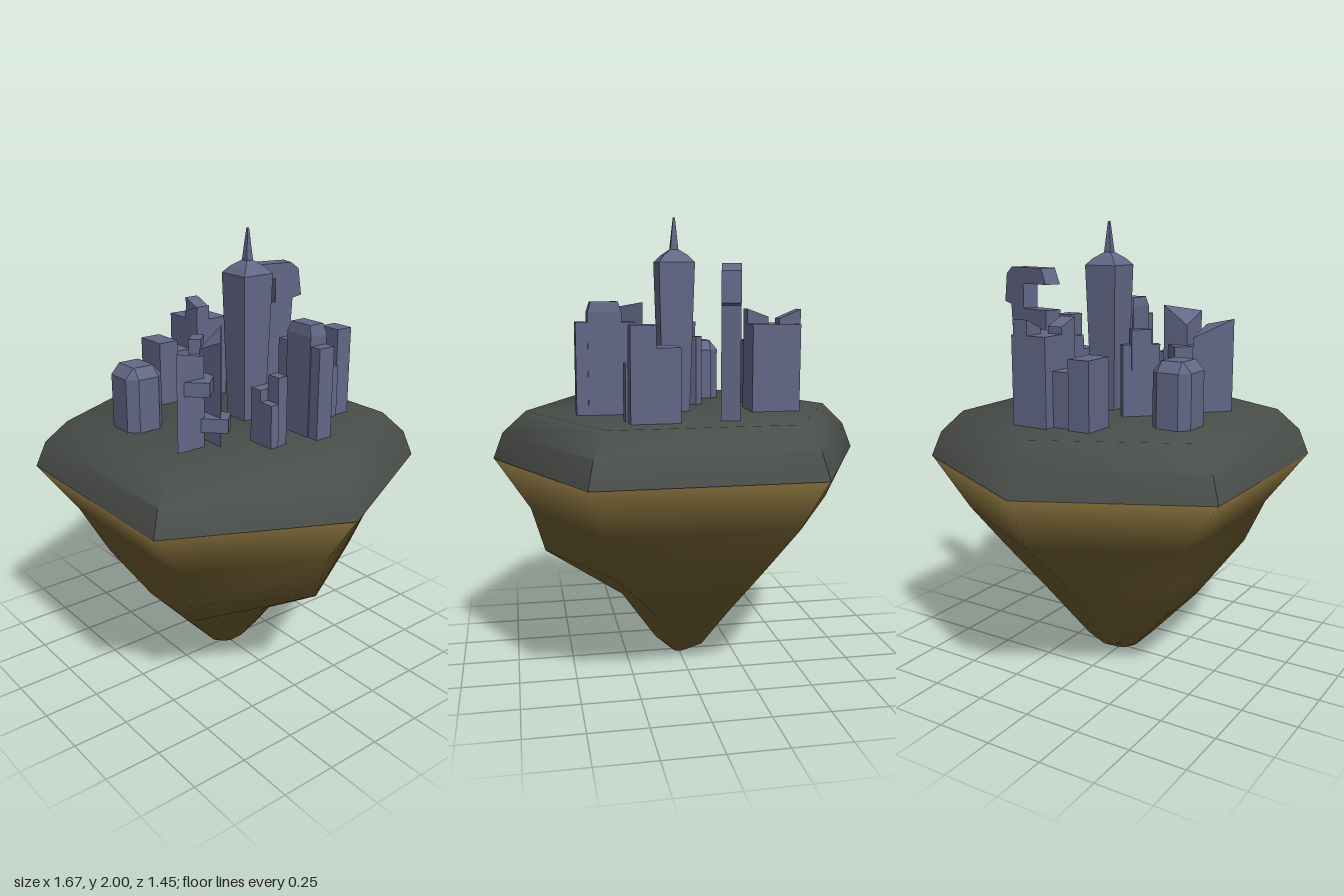
import * as THREE from 'three';
import { toCreasedNormals } from 'three/addons/utils/BufferGeometryUtils.js';

const GROUND = 1.165;
const stoneMat = new THREE.MeshStandardMaterial({ color: 0x4a4e4a });
const rockMat = new THREE.MeshStandardMaterial({ color: 0x6e5c30 });
const cityMat = new THREE.MeshStandardMaterial({ color: 0x626786 });

// Skin between cross-sections, listed bottom to top, each counterclockwise from above
function loft(rings) {
  const n = rings[0].length, index = [];
  for (let i = 0; i < rings.length - 1; i++) {
    for (let j = 0; j < n; j++) {
      const k = (j + 1) % n, a = i * n, b = a + n;
      index.push(a + j, a + k, b + k, a + j, b + k, b + j);
    }
  }
  const top = (rings.length - 1) * n;
  for (let j = 1; j < n - 1; j++) {
    index.push(0, j + 1, j, top, top + j, top + j + 1);
  }
  const geo = new THREE.BufferGeometry();
  geo.setAttribute('position', new THREE.Float32BufferAttribute(rings.flat(2), 3));
  geo.setIndex(index);
  geo.computeVertexNormals();
  return geo;
}

function flat(geo) {
  const g = geo.toNonIndexed();
  g.computeVertexNormals();
  return g;
}

function add(parent, name, geo, mat = cityMat) {
  const mesh = new THREE.Mesh(geo, mat);
  mesh.name = name;
  parent.add(mesh);
  return mesh;
}

function group(parent, name, x = 0, z = 0, turn = 0) {
  const g = new THREE.Group();
  g.name = name;
  g.position.set(x, 0, z);
  g.rotation.y = turn;
  parent.add(g);
  return g;
}

// Box given by its limits
function block(parent, name, x0, x1, z0, z1, y1, y0 = GROUND - 0.01) {
  const geo = new THREE.BoxGeometry(x1 - x0, y1 - y0, z1 - z0);
  geo.translate((x0 + x1) / 2, (y0 + y1) / 2, (z0 + z1) / 2);
  return add(parent, name, geo);
}

// Hexagon with its own reach to each side
const hex = (y, left, right, front, back) => [
  [right, y, 0], [right * 0.57, y, -back], [-left * 0.57, y, -back],
  [-left, y, 0], [-left * 0.57, y, front], [right * 0.57, y, front],
];

const square = (y, h, d = h) => [[h, y, d], [h, y, -d], [-h, y, -d], [-h, y, d]];

// Rectangle with cut corners
const octagon = (y, h, d, c) => [
  [h, y, d - c], [h, y, c - d], [h - c, y, -d], [c - h, y, -d],
  [-h, y, c - d], [-h, y, d - c], [c - h, y, d], [h - c, y, d],
];

export function createModel() {
  const model = new THREE.Group();
  model.name = 'floatingCity';

  // Hanging rock
  add(model, 'rock', loft([
    hex(0, 0.025, 0.03, 0.03, 0.03),
    hex(0.07, 0.15, 0.11, 0.13, 0.13),
    hex(0.29, 0.30, 0.265, 0.33, 0.31),
    hex(0.52, 0.51, 0.615, 0.475, 0.465),
    hex(0.72, 0.72, 0.675, 0.56, 0.565),
    hex(0.955, 0.835, 0.83, 0.725, 0.72),
  ]), rockMat);

  // Bevelled plateau
  add(model, 'plateau', toCreasedNormals(loft([
    hex(0.955, 0.837, 0.833, 0.725, 0.725),
    hex(1.07, 0.79, 0.79, 0.685, 0.685),
    hex(GROUND, 0.69, 0.685, 0.6, 0.6),
  ]), 0.9), stoneMat);

  // Spired tower
  const spire = group(model, 'spireTower', 0.034, -0.083);
  add(spire, 'spireShaft', flat(loft(
    [[1.155, 0.06], [1.81, 0.078], [1.84, 0.052], [1.865, 0.017], [2, 0.004]]
      .map(([y, h]) => square(y, h)))));

  // Hooked tower, a side outline given thickness
  const hook = group(model, 'hookTower', -0.155, -0.375, -Math.PI / 2 - 0.25);
  const outline = [
    [0.125, 1.155], [0.148, 1.62], [-0.01, 1.62], [-0.01, 1.73], [0.148, 1.73], [0.115, 1.8],
    [-0.09, 1.8], [-0.128, 1.77], [-0.145, 1.645], [-0.1, 1.635], [-0.075, 1.155],
  ].map(([u, y]) => new THREE.Vector2(u, y));
  const hookGeo = new THREE.ExtrudeGeometry(new THREE.Shape(outline), { depth: 0.08, bevelEnabled: false });
  hookGeo.translate(0, 0, -0.04);
  add(hook, 'hookBody', hookGeo);

  // Stepped block at the back
  const back = group(model, 'backBlock');
  block(back, 'backLow', 0.075, 0.175, -0.48, -0.32, 1.47);
  block(back, 'backHigh', 0.175, 0.28, -0.48, -0.4, 1.56);
  block(back, 'backFront', 0.175, 0.29, -0.4, -0.32, 1.4);

  // Three-part tower
  const triple = group(model, 'tripleTower', 0.35, -0.147);
  block(triple, 'tripleSideRight', -0.13, -0.065, -0.04, 0.04, 1.56);
  block(triple, 'tripleSideLeft', 0.065, 0.123, -0.04, 0.04, 1.56);
  add(triple, 'tripleMiddle', flat(loft([
    square(1.155, 0.072, 0.045), square(1.6, 0.072, 0.045), square(1.645, 0.058, 0.036),
  ])));

  // Small stepped house
  const house = group(model, 'smallHouse');
  block(house, 'houseMain', 0.3, 0.36, 0.02, 0.11, 1.4);
  block(house, 'houseHigh', 0.36, 0.425, 0.022, 0.07, 1.46);
  block(house, 'houseLow', 0.36, 0.43, 0.07, 0.11, 1.35);

  // Wide block with two slanted roof wedges and a front annex
  const wide = group(model, 'wideBlock');
  block(wide, 'wideMain', -0.505, -0.29, -0.22, -0.05, 1.545);
  const wedge = (x, z, yLeft, yRight) => {
    const g = group(wide, 'roofWedge', x, z);
    const top = square(0, 0.048, 0.035).map(([px, , pz]) => [px, px < 0 ? yLeft : yRight, pz]);
    add(g, 'wedgeBody', flat(loft([square(1.54, 0.048, 0.035), top])));
  };
  wedge(-0.457, -0.175, 1.61, 1.57);
  wedge(-0.338, -0.085, 1.575, 1.61);
  block(wide, 'annexLink', -0.455, -0.35, -0.05, 0.04, 1.4);
  block(wide, 'annex', -0.475, -0.322, 0.04, 0.14, 1.46);

  // Eight-sided tower with a sloping cap
  const eight = group(model, 'octagonTower', -0.157, 0.376);
  add(eight, 'octagonBody', flat(loft([
    octagon(1.155, 0.097, 0.09, 0.04), octagon(1.4, 0.097, 0.09, 0.04), octagon(1.445, 0.06, 0.05, 0.004),
  ])));

  // Slim turned tower
  const slim = group(model, 'slimTower', -0.052, 0.13, -Math.PI / 4);
  block(slim, 'slimEnds', -0.083, 0.083, -0.024, 0.024, 1.48);
  block(slim, 'slimMiddle', -0.045, 0.045, -0.027, 0.027, 1.545);

  // Pair of three-sided towers with slanted roofs
  const twins = group(model, 'slantedTwins');
  const slanted = (name, corners) => add(twins, name, flat(loft([
    corners.map(([x, , z]) => [x, 1.155, z]), corners,
  ])));
  slanted('rearTwin', [[0.14, 1.635, 0.14], [0.14, 1.55, 0.257], [0.283, 1.605, 0.257]]);
  slanted('frontTwin', [[0.105, 1.5, 0.305], [0.238, 1.58, 0.44], [0.238, 1.55, 0.305]]);

  // Bridges crossing between the twins
  const upper = group(twins, 'upperBridge', 0.19, 0.283, -Math.PI / 4);
  block(upper, 'upperDeck', -0.12, 0.12, -0.052, 0.052, 1.46, 1.4);
  const lower = group(twins, 'lowerBridge', 0.215, 0.275, Math.PI / 4);
  block(lower, 'lowerDeck', -0.095, 0.095, -0.05, 0.05, 1.29, 1.23);

  return model;
}
